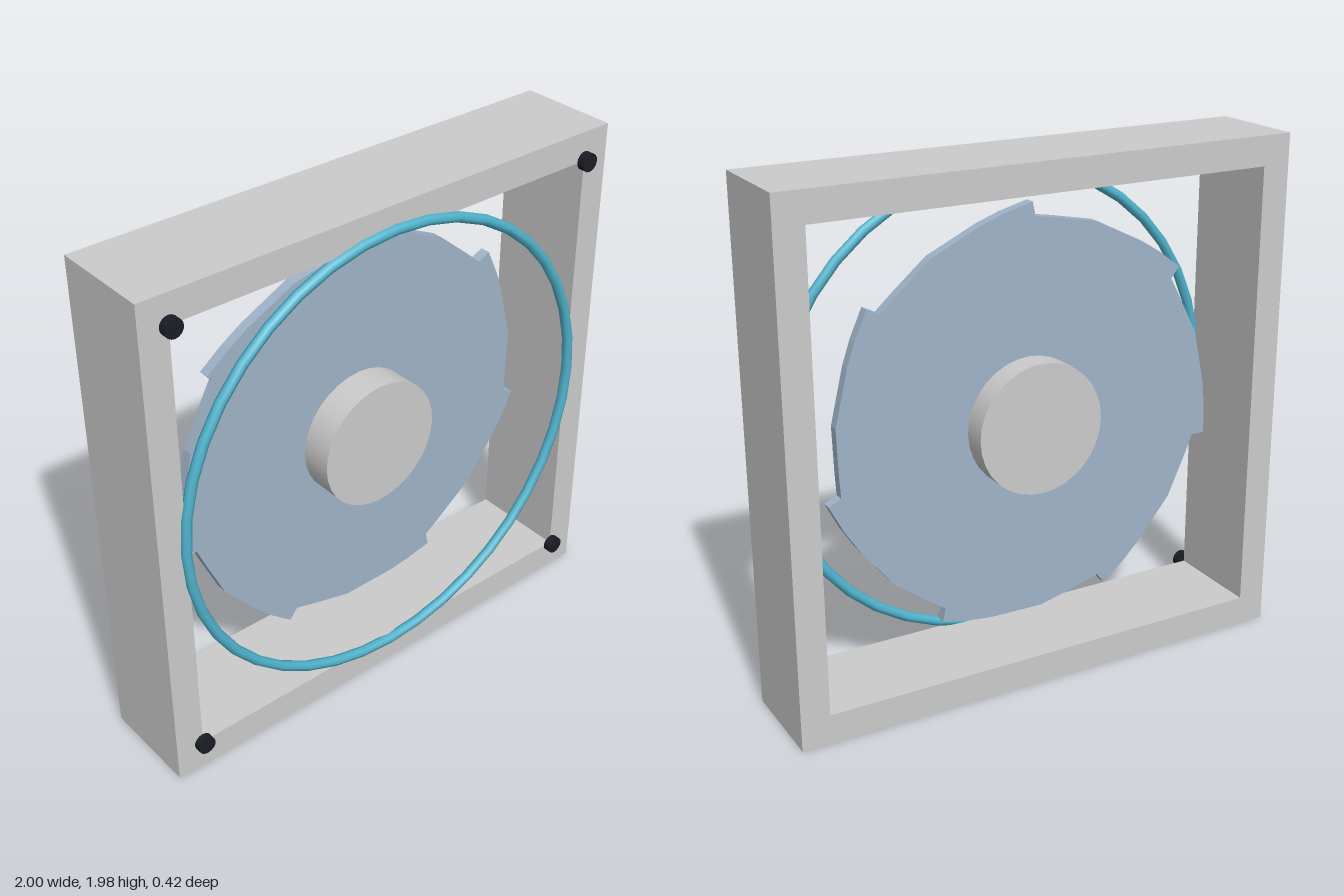
import * as THREE from 'three';

const CY = 0.99; // height of the fan axis

function material(color) {
  return new THREE.MeshStandardMaterial({ color });
}

function rectangle(target, w, h) {
  target.moveTo(-w, -h);
  target.lineTo(w, -h);
  target.lineTo(w, h);
  target.lineTo(-w, h);
  target.closePath();
  return target;
}

// Flat shape extruded from z0 to z1
function extrude(shape, z0, z1) {
  const geometry = new THREE.ExtrudeGeometry(shape, { depth: z1 - z0, bevelEnabled: false });
  return geometry.translate(0, 0, z0);
}

// Outline of seven overlapping blades, each with a stepped leading tip
function bladeOutline() {
  const count = 7;
  const profile = [[0, 0.812], [8, 0.79], [15, 0.775], [31, 0.764], [44, 0.753], [50.5, 0.76]];
  const points = [];
  for (let i = 0; i < count; i++) {
    for (const [turn, r] of profile) {
      const a = THREE.MathUtils.degToRad(91 - i * 360 / count - turn);
      points.push(new THREE.Vector2(r * Math.cos(a), r * Math.sin(a)));
    }
  }
  return new THREE.Shape(points);
}

export function createModel() {
  const group = new THREE.Group();
  const grey = material(0xcccccc);
  const dark = material(0x1a1d24);

  const add = (name, geometry, mat, x = 0, y = CY, z = 0) => {
    const mesh = new THREE.Mesh(geometry, mat);
    mesh.name = name;
    mesh.position.set(x, y, z);
    group.add(mesh);
  };

  // Square housing with an open middle
  const housing = rectangle(new THREE.Shape(), 1, 0.988);
  housing.holes.push(rectangle(new THREE.Path(), 0.89, 0.875));
  add('housing', extrude(housing, -0.21, 0.18), grey, 0, 0.988);

  // Rotor
  add('blades', extrude(bladeOutline(), -0.05, -0.01), material(0x9fb4c8));
  const hub = new THREE.CylinderGeometry(0.25, 0.25, 0.26, 32).rotateX(Math.PI / 2);
  add('hub', hub, grey, 0, CY, -0.015);

  // Light ring on the front
  add('lightRing', new THREE.TorusGeometry(0.895, 0.02, 8, 40), material(0x4fb3cc), 0, CY, 0.18);

  // Corner screws
  const screw = new THREE.CylinderGeometry(0.035, 0.035, 0.03, 16).rotateX(Math.PI / 2);
  for (const x of [-0.89, 0.89]) {
    for (const y of [-0.875, 0.875]) add('cornerScrew', screw, dark, x, CY + y, 0.195);
  }

  return group;
}
